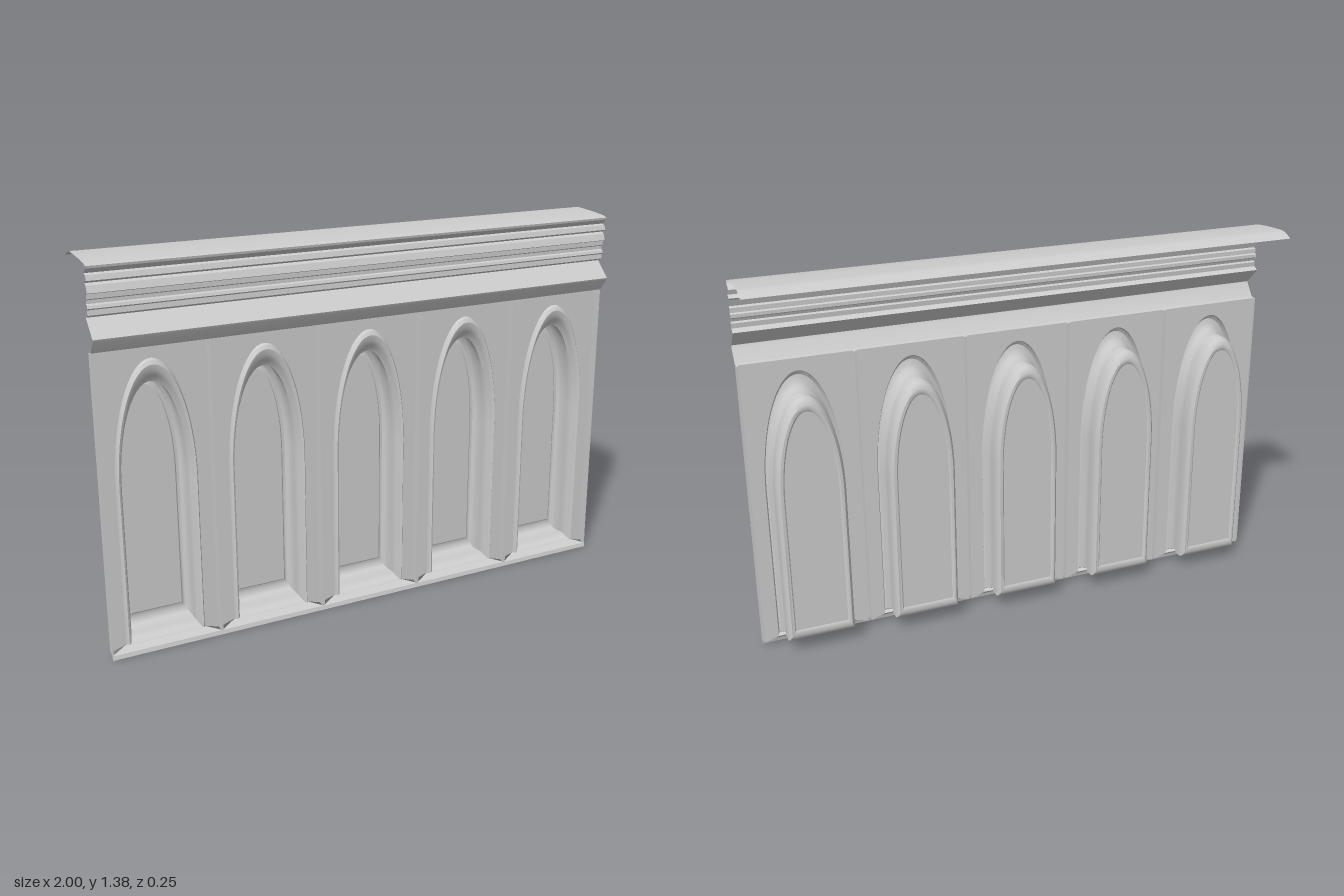
import * as THREE from 'three';
import { toCreasedNormals } from 'three/addons/utils/BufferGeometryUtils.js';

const material = new THREE.MeshStandardMaterial({ color: 0xcccccc, side: THREE.DoubleSide });
const BAYS = 5, PITCH = 0.4, FACE_Z = 0.063, RIDGE_Z = 0.088, SPRING = 0.6;

// Skin between successive cross-sections, each a list of [x, y, z]
function skin(sections, closed = false, crease = 0.6) {
  const n = sections[0].length, index = [];
  for (let i = 0; i < sections.length - 1; i++) {
    for (let j = 0; j < (closed ? n : n - 1); j++) {
      const k = (j + 1) % n;
      const a = i * n + j, b = i * n + k, c = a + n, d = b + n;
      index.push(a, c, b, b, c, d);
    }
  }
  const g = new THREE.BufferGeometry();
  g.setAttribute('position', new THREE.Float32BufferAttribute(sections.flat(2), 3));
  g.setIndex(index);
  g.computeVertexNormals();
  return toCreasedNormals(g, crease);
}

function add(parent, name, geometry) {
  const mesh = new THREE.Mesh(geometry, material);
  mesh.name = name;
  parent.add(mesh);
  return mesh;
}

// Tall arch outline: bottom left, up, over the elliptical head, bottom right
function archOutline(halfWidth, bottom, top) {
  const pts = [[-halfWidth, bottom]];
  const steps = 32;
  for (let i = 0; i <= steps; i++) {
    const a = Math.PI * (1 - i / steps);
    pts.push([halfWidth * Math.cos(a), SPRING + (top - SPRING) * Math.sin(a)]);
  }
  pts.push([halfWidth, bottom]);
  return pts;
}

const flat = (pts) => new THREE.ShapeGeometry(new THREE.Shape(pts.map(([x, y]) => new THREE.Vector2(x, y))));

// Arch moulding rings from the front roll to the back: half width, bottom, top, z
const RINGS = [
  [0.142, 0.035, 1.035, FACE_Z],
  [0.140, 0.036, 1.030, 0.074],
  [0.135, 0.039, 1.017, 0.081],
  [0.129, 0.043, 0.998, 0.078],
  [0.125, 0.048, 0.980, 0.069],
  [0.122, 0.051, 0.970, 0.058],
  [0.118, 0.060, 0.954, 0.050],
  [0.118, 0.060, 0.954, 0.025],
  [0.122, 0.055, 0.970, 0.024],
  [0.122, 0.055, 0.970, -0.013],
  [0.118, 0.061, 0.960, -0.024],
  [0.110, 0.078, 0.944, -0.033],
  [0.100, 0.092, 0.930, -0.033],
  [0.095, 0.098, 0.922, -0.029],
];

function createBay() {
  const bay = new THREE.Group();

  // Flat wall face around the arch
  const w = PITCH / 2 - 0.006;
  const arch = archOutline(...RINGS[0].slice(0, 3));
  const face = add(bay, 'wallFace', flat([[w, 0.018], [w, 1.08], [-w, 1.08], [-w, 0.018], ...arch]));
  face.position.z = FACE_Z;

  // Roll moulding and stepped reveal
  add(bay, 'archMoulding', skin(
    RINGS.map(([hw, b, t, z]) => archOutline(hw, b, t).map(([x, y]) => [x, y, z])), true));

  // Recessed back panel
  const last = RINGS[RINGS.length - 1];
  const panel = add(bay, 'recessedPanel', flat(archOutline(last[0], last[1], last[2]).reverse()));
  panel.position.z = last[3];

  // Splayed sill below the opening
  const line = (hw, y, z) => [[-hw, y, z], [hw, y, z]];
  add(bay, 'sill', skin([
    line(0.142, 0.035, FACE_Z), line(PITCH / 2, 0.015, RIDGE_Z), line(PITCH / 2, 0, 0.092),
  ]));
  return bay;
}

export function createModel() {
  const model = new THREE.Group();
  model.name = 'arcadedWallPanel';

  // Arched bays
  for (let i = 0; i < BAYS; i++) {
    const bay = createBay();
    bay.name = 'bay' + (i + 1);
    bay.position.x = (i - (BAYS - 1) / 2) * PITCH;
    model.add(bay);
  }

  // Thin ridges between the bays, halved at both ends
  for (let i = 0; i <= BAYS; i++) {
    const x = (i - BAYS / 2) * PITCH;
    const section = (y, lift) => [[-0.006, FACE_Z], [-0.005, RIDGE_Z], [0.005, RIDGE_Z], [0.006, FACE_Z]]
      .map(([dx, z]) => [THREE.MathUtils.clamp(x + dx, -1, 1), z === FACE_Z ? y + lift : y, z]);
    add(model, 'ridge', skin([section(0.015, 0.008), section(1.08, -0.004)]));
  }

  // Cornice profile [z, y], from the rear of the top sheet down to the wall
  const profile = [
    [-0.13, 1.355], [-0.11, 1.366], [-0.09, 1.373], [-0.07, 1.375], [0.02, 1.37], [0.08, 1.364],
    [0.1, 1.358], [0.098, 1.35], [0.075, 1.332], [0.09, 1.328], [0.096, 1.311], [0.078, 1.302],
    [0.088, 1.295], [0.097, 1.272], [0.086, 1.268], [0.086, 1.252], [0.08, 1.248], [0.08, 1.236],
    [0.086, 1.232], [0.09, 1.222], [0.084, 1.217], [0.086, 1.2], [0.065, 1.19],
    [0.124, 1.131], [0.12, 1.122], [0.088, 1.08], [FACE_Z, 1.076],
  ];
  add(model, 'cornice', skin(profile.map(([z, y]) => [[-1, y, z], [1, y, z]]), false, 0.4));

  return model;
}
